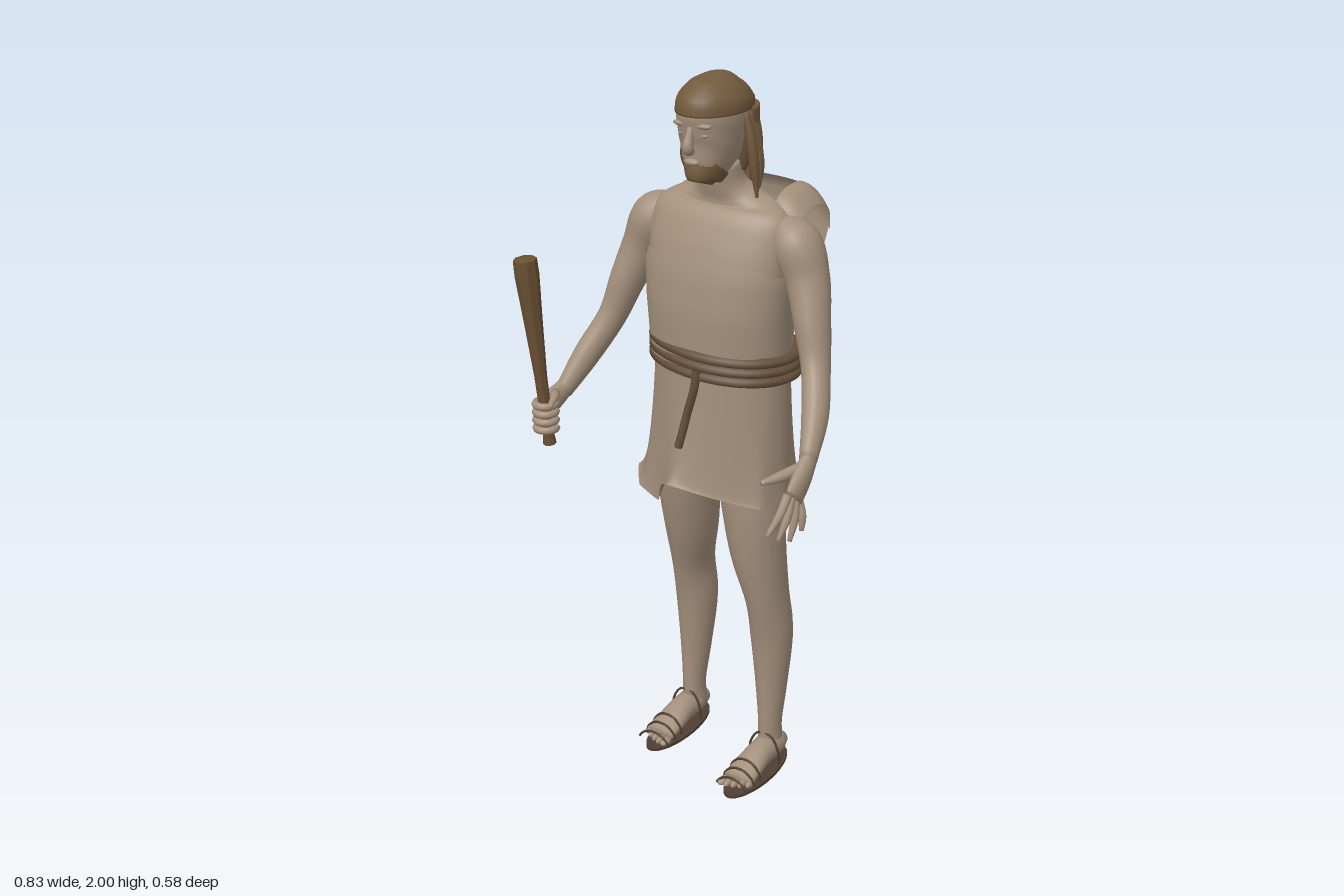
import * as THREE from 'three';

const mat = (name, color) => {
  const m = new THREE.MeshStandardMaterial({ color, side: THREE.DoubleSide });
  m.name = name;
  return m;
};
const V = (x, y, z) => new THREE.Vector3(x, y, z);

// Smooth surface from a rule; closed sheets wrap round in u
function sheet(nu, nv, closed, rule) {
  const pos = [], idx = [], w = closed ? nu : nu + 1;
  for (let j = 0; j <= nv; j++)
    for (let i = 0; i < w; i++) pos.push(...rule(i / nu, j / nv).toArray());
  for (let j = 0; j < nv; j++)
    for (let i = 0; i < nu; i++) {
      const a = j * w + i, b = j * w + (i + 1) % w;
      idx.push(a, b, a + w, b, b + w, a + w);
    }
  const g = new THREE.BufferGeometry();
  g.setAttribute('position', new THREE.Float32BufferAttribute(pos, 3));
  g.setIndex(idx);
  g.computeVertexNormals();
  return g;
}

// Tapered limb through stations [x, y, z, radius across, radius deep]
function limb(st, nu = 20, nv = st.length * 4, power = 1) {
  const path = new THREE.CatmullRomCurve3(st.map(s => V(s[0], s[1], s[2])), false, 'catmullrom');
  const size = new THREE.CatmullRomCurve3(st.map(s => V(s[3], s[4] ?? s[3], 0)), false, 'catmullrom');
  return sheet(nu, nv + 2, true, (u, v) => {
    const j = Math.round(v * (nv + 2)) - 1, t = THREE.MathUtils.clamp(j / nv, 0, 1);
    const c = path.getPoint(t);
    if (j < 0 || j > nv) return c;
    const r = size.getPoint(t), T = path.getTangent(t);
    const S = V(1, 0, 0).addScaledVector(T, -T.x).normalize(), O = T.clone().cross(S);
    const a = u * Math.PI * 2, f = q => Math.sign(q) * Math.abs(q) ** power;
    return c.addScaledVector(S, f(Math.cos(a)) * r.x).addScaledVector(O, f(Math.sin(a)) * r.y);
  });
}

const cord = (pts, r, closed = false, n = 24) =>
  new THREE.TubeGeometry(new THREE.CatmullRomCurve3(pts.map(p => V(...p)), closed), n, r, 6, closed);

// Torso rings: height, centre z, half width, half depth
const TORSO = [[.94, -.075, .15, .1], [1.03, -.075, .178, .125], [1.12, -.07, .178, .127], [1.25, -.065, .182, .125],
  [1.4, -.055, .19, .115], [1.5, -.06, .2, .105], [1.58, -.075, .205, .093], [1.63, -.085, .2, .08],
  [1.665, -.09, .17, .06], [1.69, -.085, .11, .052], [1.72, -.075, .066, .05], [1.78, -.06, .056, .05]];
function rowAt(rows, y) {
  let i = 0;
  while (i < rows.length - 2 && rows[i + 1][0] < y) i++;
  const t = (y - rows[i][0]) / (rows[i + 1][0] - rows[i][0]);
  return rows[i].map((a, k) => a + (rows[i + 1][k] - a) * t);
}

export function createModel() {
  const skin = mat('skin', 0xa4907c), cloth = mat('cloth', 0xa28f7b), hair = mat('hair', 0x735a3d);
  const rope = mat('rope', 0x66503a), wood = mat('wood', 0x6a5033), leather = mat('leather', 0x4e3f32);
  const root = new THREE.Group();
  const add = (name, geo, m, parent = root) => {
    const mesh = new THREE.Mesh(geo, m);
    mesh.name = name;
    parent.add(mesh);
    return mesh;
  };
  const group = name => {
    const g = new THREE.Group();
    g.name = name;
    root.add(g);
    return g;
  };
  const blob = (name, p, s, m, parent) => {
    const b = add(name, new THREE.SphereGeometry(1, 16, 10), m, parent);
    b.position.set(...p);
    b.scale.set(...s);
  };

  add('torso', limb(TORSO.map(([y, z, a, b]) => [0, y, z, a, b]), 40, 48, .88), skin);

  // Head and face
  const head = group('head');
  add('skull', limb([[0, 1.742, .018, .026, .036], [0, 1.765, .004, .048, .06], [0, 1.81, -.02, .067, .088],
    [0, 1.85, -.033, .075, .104], [0, 1.9, -.042, .081, .116], [0, 1.95, -.045, .075, .1], [0, 1.98, -.045, .04, .055]], 28, 28, .92), skin, head);
  add('nose', limb([[0, 1.885, .064, .008, .007], [0, 1.86, .07, .01, .012], [0, 1.837, .077, .014, .015], [0, 1.822, .066, .012, .012]], 12), skin, head);
  blob('lips', [0, 1.796, .059], [.022, .009, .012], skin, head);
  for (const s of [-1, 1]) {
    blob('brow', [s * .03, 1.89, .056], [.026, .008, .013], skin, head);
    blob('eye', [s * .03, 1.865, .053], [.013, .006, .008], skin, head);
  }
  add('beard', limb([[0, 1.733, .018, .024, .037], [0, 1.748, .013, .043, .054], [0, 1.772, -.003, .057, .067]], 24), hair, head);

  // Hair: cap, back and hanging locks
  add('hairCap', limb([[0, 1.912, -.044, .088, .122], [0, 1.935, -.044, .087, .118], [0, 1.955, -.045, .078, .104],
    [0, 1.973, -.046, .063, .084], [0, 1.987, -.047, .044, .059], [0, 1.997, -.047, .022, .03], [0, 2, -.047, .004, .006]], 32), hair, head);
  add('hairBack', limb([[0, 1.915, -.098, .086, .067], [0, 1.86, -.099, .086, .066], [0, 1.8, -.098, .078, .052], [0, 1.75, -.09, .06, .036]], 24), hair, head);
  for (let i = 0; i < 15; i++) {
    const a = Math.PI * (i / 14) * 1.06 - .1, wob = Math.sin(i * 7.3), r = .01 + .003 * Math.cos(i * 4.1);
    const x = Math.cos(a), z = -Math.sin(a);
    add('hairLock', limb([[x * .078, 1.905, -.07 + z * .082, r * .8], [x * .094, 1.84, -.072 + z * .082, r],
      [x * (.102 + wob * .008), 1.77, -.075 + z * .064, r], [x * .106, 1.69 + wob * .03, -.08 + z * .05, .004]], 7), hair, head);
  }

  // Arms
  for (const s of [-1, 1])
    add(s > 0 ? 'leftArm' : 'rightArm', limb([[s * .16, 1.64, -.09, .02, .03], [s * .212, 1.588, -.09, .062, .068],
      [s * .252, 1.5, -.085, .056, .062], [s * .287, 1.4, -.055, .046, .053], [s * .318, 1.3, -.025, .037, .043],
      [s * .358, 1.2, .04, .034, .04], [s * .385, 1.11, .115, .022, .027]], 20, 36), skin);

  // Open left hand
  const lh = group('leftHand');
  add('palm', limb([[.385, 1.12, .105, .02, .026], [.388, 1.075, .15, .021, .037], [.39, 1.035, .19, .016, .04]], 16), skin, lh);
  [[.375, .97, .285], [.385, .945, .25], [.395, .93, .213], [.405, .945, .172]].forEach(([x, y, z], i) => {
    const by = 1.058 - i * .014, bz = .216 - i * .018;
    add('finger', limb([[.39, by, bz, .012], [(.4 + x) / 2, (by + y) / 2, (bz + z) / 2, .011], [x, y, z, .006]], 8), skin, lh);
  });
  add('thumb', limb([[.38, 1.1, .14, .015], [.355, 1.09, .195, .014], [.33, 1.085, .245, .007]], 8), skin, lh);

  // Right hand closed round the club
  const rh = group('rightHand');
  add('palm', limb([[-.385, 1.12, .105, .022, .027], [-.39, 1.1, .15, .022, .036], [-.392, 1.085, .2, .02, .04], [-.39, 1.08, .225, .01, .03]], 16), skin, rh);
  for (let i = 0; i < 4; i++) {
    const f = add('finger', new THREE.TorusGeometry(.027, .0105, 8, 16, Math.PI * 1.5), skin, rh);
    f.position.set(-.365, 1.048 + i * .023, .215);
    f.rotation.set(Math.PI / 2, 0, -.5 - i * .1);
  }
  add('thumb', limb([[-.375, 1.125, .16, .013], [-.35, 1.13, .195, .012], [-.335, 1.12, .235, .007]], 8), skin, rh);

  // Club
  const club = group('club');
  const prof = [[0, 0], [.018, 0], [.015, .03], [.017, .2], [.025, .36], [.032, .48], [.031, .525], [0, .53]];
  const cg = new THREE.LatheGeometry(prof.map(p => new THREE.Vector2(...p)), 8).toNonIndexed();
  cg.computeVertexNormals();
  add('clubWood', cg, wood, club);
  club.position.set(-.36, 1, .21);
  club.quaternion.setFromUnitVectors(V(0, 1, 0), V(-.03, .53, .035).normalize());

  // Legs, feet and sandals; the right leg stands further back
  for (const s of [-1, 1]) {
    const leg = group(s > 0 ? 'leftLeg' : 'rightLeg'), back = s > 0 ? 0 : -.065;
    add('leg', limb([[.092, .98, -.07, .085, .1], [.112, .85, -.065, .084, .094], [.126, .7, -.073, .073, .086],
      [.145, .55, -.093, .055, .073], [.148, .42, -.115, .057, .067], [.151, .25, -.113, .042, .051],
      [.153, .13, -.106, .031, .041], [.153, .05, -.11, .034, .043]]
      .map(([x, y, z, a, b]) => [s * x, y, z + back * Math.min(1, (1 - y) / .4), a, b]), 24), skin, leg);
    const foot = new THREE.Group();
    foot.name = 'foot';
    foot.position.set(s * .157, 0, back);
    leg.add(foot);
    add('footBody', limb([[0, .045, -.162, .022, .022], [0, .055, -.12, .037, .036], [0, .057, -.05, .038, .039],
      [0, .045, .02, .045, .027], [0, .035, .07, .045, .017]], 18), skin, foot);
    for (let i = 0; i < 5; i++)
      blob('toe', [s * (-.035 + i * .018), .03, .09 - i * i * .0018], [i ? .0095 : .013, .011, .022], skin, foot);
    const sole = add('sole', new THREE.CylinderGeometry(1, 1, 1, 32), leather, foot);
    sole.scale.set(.054, .009, .147);
    sole.position.set(0, .0065, -.026);
    [[.1, .052], [.062, .062], [.03, .074], [-.07, .108]].forEach(([z, h]) =>
      add('strap', cord([[-.05, .025, z], [-.045, h * .65, z], [-.02, h, z], [.02, h, z], [.045, h * .65, z], [.05, .025, z]], .0035), leather, foot));
  }

  // Skirt with an uneven hem, one hem point every thirty degrees
  const hem = new THREE.CatmullRomCurve3([[.21, .875, -.06], [.19, .88, .03], [.08, .905, .085], [-.045, .935, .137],
    [-.12, .83, .05], [-.2, .845, .025], [-.255, .865, -.05], [-.2, .89, -.14], [-.1, .9, -.21], [0, .9, -.23],
    [.11, .885, -.275], [.19, .89, -.18]].map(p => V(...p)), true, 'catmullrom', .15);
  add('skirt', sheet(72, 14, true, (u, v) => {
    const a = u * Math.PI * 2, r = .192 + .008 * v;
    const up = V(.008 + Math.cos(a) * r, 1.26 - .36 * v, -.07 + Math.sin(a) * (.138 + .012 * v));
    return up.lerp(hem.getPoint(u), v * v);
  }), cloth);

  // Chest cloth with a torn, stepped upper edge
  add('chestCloth', sheet(120, 12, true, (u, v) => {
    const a = u * Math.PI * 2, c = Math.cos(a), s = Math.sin(a);
    const edge = s > -.5 ? 1.575 - .02 * Math.round(Math.abs(c) * 3) : 1.42;
    const y = 1.24 + (edge - 1.24) * v, [, z, rx, rz] = rowAt(TORSO, y);
    const f = q => Math.sign(q) * Math.abs(q) ** .88;
    return V(.008 + f(c) * (rx + .014), y, z + f(s) * (rz + .014 + .008 * v));
  }), cloth);

  // Back cloth standing off the body, its corners drooping: height, middle z, edge z, half width
  const BACK = [[1.24, -.205, -.09, .19], [1.35, -.225, -.1, .2], [1.43, -.25, -.13, .207], [1.5, -.27, -.2, .205],
    [1.56, -.285, -.235, .205], [1.62, -.293, -.24, .215], [1.67, -.285, -.225, .22], [1.69, -.265, -.21, .222]];
  add('backCloth', sheet(28, 24, false, (u, v) => {
    const y = 1.24 + .45 * v, [, zc, ze, w] = rowAt(BACK, y), k = u * 2 - 1;
    return V(.008 + k * w, y - v ** 4 * k ** 4 * (k < 0 ? .06 : .035), zc + (ze - zc) * Math.abs(k) ** 2.5);
  }), cloth);
  // Shoulder straps drape lower at their outer edge
  const over = new THREE.CatmullRomCurve3([[1.62, -.28], [1.675, -.268], [1.702, -.225], [1.705, -.17], [1.692, -.12], [1.66, -.09]].map(p => V(0, ...p)));
  for (const s of [-1, 1])
    add('shoulderStrap', sheet(6, 16, false, (u, v) => {
      const p = over.getPoint(v);
      return V(s * (.135 + .07 * u) + .008, p.y - .045 * u * u - (s < 0 ? .02 : 0), p.z + .02 * u * (1 - v));
    }), cloth);

  // Rope belt of three turns with a hanging end
  const belt = group('belt');
  for (let i = 0; i < 3; i++) {
    const ring = [];
    for (let k = 0; k < 24; k++) {
      const a = k / 24 * Math.PI * 2;
      ring.push([.016 + Math.cos(a) * .204, 1.24 + i * .026 - Math.cos(a) * .006, -.069 + Math.sin(a) * .143]);
    }
    add('ropeTurn', cord(ring, .0145, true, 64), rope, belt);
  }
  add('ropeEnd', cord([[.03, 1.26, .085], [.025, 1.21, .088], [.002, 1.13, .088], [-.008, 1.08, .094], [-.018, 1.035, .1]], .011), rope, belt);

  return root;
}
